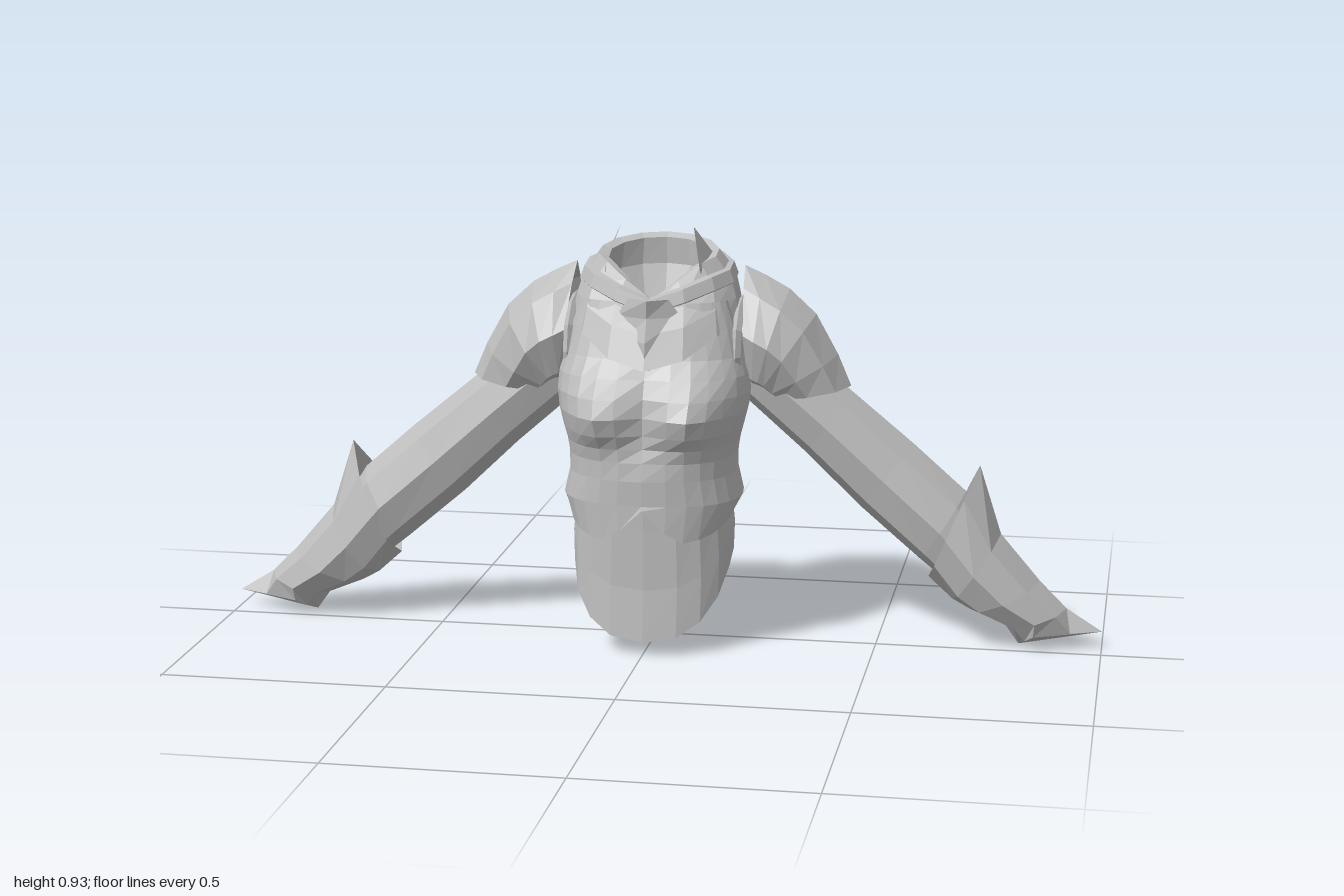
import * as THREE from 'three';

const armour = new THREE.MeshStandardMaterial({ color: 0xbcbcbc, flatShading: true, side: THREE.DoubleSide });
armour.name = 'grey armour';

function facetMesh(name, pos, idx) {
  const g = new THREE.BufferGeometry();
  g.setAttribute('position', new THREE.Float32BufferAttribute(pos, 3));
  g.setIndex(idx);
  const flat = g.toNonIndexed();
  flat.computeVertexNormals();
  const mesh = new THREE.Mesh(flat, armour);
  mesh.name = name;
  return mesh;
}

// Skin a list of closed rings of [x, y, z] points; optionally cap the last ring.
function loft(name, rings, capEnd = false) {
  const n = rings[0].length, idx = [];
  for (let r = 0; r < rings.length - 1; r++) {
    for (let i = 0; i < n; i++) {
      const a = r * n + i, b = r * n + (i + 1) % n;
      idx.push(a, b, b + n, a, b + n, a + n);
    }
  }
  if (capEnd) {
    const base = (rings.length - 1) * n;
    for (let i = 1; i < n - 1; i++) idx.push(base, base + i, base + i + 1);
  }
  return facetMesh(name, rings.flat(2), idx);
}

const pow = (v, e) => Math.sign(v) * Math.abs(v) ** e;

// Rounded body ring: half width, front z, back z; yAt gives the height per angle.
function bodyRing(n, hw, zf, zb, yAt, e = 0.85, zc = 0.02) {
  return Array.from({ length: n }, (_, i) => {
    const a = (i / n) * Math.PI * 2, s = Math.sin(a), c = Math.cos(a);
    const x = hw * pow(s, e), z = zc + pow(c, e) * (c > 0 ? zf - zc : zc - zb);
    return [x, yAt(x, c, z), z];
  });
}

// Eight-sided limb ring between an upper and a lower point; k sets how full the top is.
function limbRing([tx, ty, bx, by, hw, k = 0.7]) {
  const across = [[0, 0], [0.16, k], [0.5, 1], [0.84, 0.75], [1, 0], [0.84, -0.75], [0.5, -1], [0.16, -k]];
  return across.map(([t, w]) => [tx + (bx - tx) * t, ty + (by - ty) * t, -0.06 + hw * w]);
}

function makeArm() {
  const arm = new THREE.Group();
  arm.add(loft('shoulderPad', [
    [0.19, 0.845, 0.21, 0.565, 0.108, 0.45],
    [0.235, 0.825, 0.215, 0.56, 0.116, 0.58],
    [0.29, 0.795, 0.22, 0.56, 0.118, 0.66],
    [0.35, 0.74, 0.225, 0.56, 0.112],
    [0.4, 0.65, 0.235, 0.555, 0.097],
    [0.43, 0.58, 0.25, 0.55, 0.08],
  ].map(limbRing)));
  arm.add(loft('upperArm', [
    [0.24, 0.72, 0.14, 0.59, 0.07],
    [0.31, 0.67, 0.21, 0.53, 0.074],
    [0.43, 0.57, 0.33, 0.425, 0.073],
    [0.57, 0.455, 0.455, 0.305, 0.076],
    [0.69, 0.35, 0.59, 0.19, 0.084],
    [0.74, 0.27, 0.64, 0.15, 0.08],
  ].map(limbRing)));
  // Forearm guard: raised point over the elbow, slanted pointed end over the hand
  const guard = [
    [0.72, 0.41, 0.61, 0.15, 0.09],
    [0.77, 0.255, 0.665, 0.1, 0.097],
    [0.86, 0.15, 0.705, 0.078, 0.09],
    [0.92, 0.09, 0.785, 0.045, 0.074],
  ].map(limbRing);
  for (const i of [1, 2, 6, 7]) { guard[0][i][0] -= 0.012; guard[0][i][1] -= 0.025; }
  guard.push([[1, 0.04, 0], [0.93, 0.04, 0.03], [0.85, 0.037, 0.064], [0.83, 0.02, 0.04], [0.815, 0.003, 0],
    [0.83, 0.02, -0.04], [0.85, 0.037, -0.064], [0.93, 0.04, -0.03]].map(([x, y, z]) => [x, y, z - 0.06]));
  arm.add(loft('forearmGuard', guard, true));
  // Raised rim around the armhole
  const rim = new THREE.Mesh(new THREE.TorusGeometry(0.11, 0.011, 4, 12), armour);
  rim.name = 'armholeRim';
  rim.rotation.y = Math.PI / 2;
  rim.position.set(0.188, 0.66, -0.045);
  arm.add(rim);
  return arm;
}

// Breastplate with a notched lower edge and two chest lobes
function makeTorso() {
  const hem = (x, c) => {
    if (c < 0) return 0.32 + 0.07 * -c;
    const ax = Math.abs(x);
    return ax < 0.075 ? 0.335 - 0.07 * (ax / 0.075) : 0.26 + 0.06 * (1 - c) ** 1.3;
  };
  const rows = [
    [0.26, 0.183, 0.195, -0.115], [0.345, 0.2, 0.192, -0.13], [0.4, 0.187, 0.192, -0.135],
    [0.44, 0.187, 0.185, -0.138], [0.47, 0.192, 0.175, -0.142], [0.5, 0.2, 0.17, -0.148],
    [0.54, 0.21, 0.17, -0.158], [0.58, 0.215, 0.165, -0.167], [0.62, 0.212, 0.15, -0.178],
    [0.66, 0.2, 0.13, -0.185], [0.72, 0.185, 0.108, -0.187], [0.78, 0.165, 0.088, -0.18],
  ];
  const rings = rows.map(([y, hw, zf, zb], r) => bodyRing(28, hw, zf, zb, (x, c) => {
    const h = hem(x, c);
    return r === 0 ? h : Math.max(y, h + 0.01 * r);
  }));
  for (const p of rings.flat()) {
    if (p[2] < 0.03) continue;
    const u = (Math.abs(p[0]) - 0.105) / 0.075, v = (p[1] - 0.53) / (p[1] < 0.53 ? 0.06 : 0.085);
    p[2] += 0.064 * Math.exp(-u * u - v * v);
  }
  return loft('breastplate', rings);
}

// Abdomen plate hanging to a rounded tongue in front
function makeAbdomen() {
  const low = (c) => 0.21 - 0.178 * Math.max(0, c) ** 1.1;
  const rings = [
    [0, 0.178, 0.18, -0.1], [0.3, 0.18, 0.168, -0.105], [0.65, 0.172, 0.165, -0.105], [1, 0.165, 0.165, -0.105],
  ].map(([t, hw, zf, zb]) =>
    bodyRing(18, hw, zf, zb, (x, c) => low(c) + (0.42 - low(c)) * t, 0.82));
  return loft('abdomenPlate', rings);
}

// Tilted collar: outer wall with a V in front, dipped rim and inner wall
function makeCollar() {
  const zc = -0.035;
  const vee = (y, d) => (x, c) => y - d * Math.max(0, c) ** 2.5;
  const tilt = (y, k, dip = 0) => (x, c, z) => y - k * (z - zc) - dip * Math.max(0, c) ** 8;
  const ring = (hw, zf, zb, yAt) => bodyRing(14, hw, zf, zb, yAt, 1, zc);
  const group = new THREE.Group();
  group.name = 'collar';
  group.add(loft('neckGuard', [
    ring(0.192, 0.163, -0.185, vee(0.74, 0.1)),
    ring(0.183, 0.13, -0.19, vee(0.785, 0.07)),
    ring(0.172, 0.09, -0.188, tilt(0.825, 0.2, 0.04)),
    ring(0.135, 0.065, -0.152, tilt(0.875, 0.22, 0.07)),
    ring(0.115, 0.05, -0.138, tilt(0.868, 0.22, 0.07)),
    ring(0.125, 0.06, -0.14, tilt(0.81, 0.2, 0.03)),
    ring(0.1, 0.065, -0.11, tilt(0.74, 0.1)),
  ]));
  // Raised band around the collar
  group.add(loft('collarBand', [
    ring(0.168, 0.09, -0.185, tilt(0.81, 0.17, 0.04)),
    ring(0.178, 0.1, -0.192, tilt(0.82, 0.17, 0.04)),
    ring(0.168, 0.092, -0.182, tilt(0.847, 0.17, 0.04)),
    ring(0.15, 0.078, -0.165, tilt(0.848, 0.17, 0.04)),
  ]));
  return group;
}

// Faceted plate: rows of [y, half width, edge z, ridge z, thickness]
function plate(name, rows) {
  return loft(name, rows.map(([y, w, ze, zr, t]) => [
    [0, y, zr], [w, y, ze], [0, y, zr - t], [-w, y, ze],
  ]), true);
}

export function createModel() {
  const model = new THREE.Group();
  model.name = 'armouredTorso';
  model.add(makeTorso(), makeAbdomen(), makeCollar());

  model.add(plate('throatPlate', [
    [0.64, 0.012, 0.145, 0.155, 0.02], [0.7, 0.055, 0.11, 0.147, 0.03],
    [0.75, 0.072, 0.092, 0.125, 0.03], [0.79, 0.045, 0.1, 0.13, 0.02],
  ]));
  model.add(plate('backPlate', [
    [0.63, 0.02, -0.195, -0.22, -0.03], [0.69, 0.05, -0.175, -0.216, -0.04],
    [0.79, 0.1, -0.16, -0.205, -0.04], [0.88, 0.08, -0.14, -0.17, -0.03],
  ]));

  for (const side of [1, -1]) {
    const arm = makeArm();
    arm.name = side > 0 ? 'leftArm' : 'rightArm';
    arm.scale.x = side;
    model.add(arm);
    // Pointed tab standing on the collar rim
    model.add(facetMesh(side > 0 ? 'leftCollarPoint' : 'rightCollarPoint', [
      side * 0.105, 0.85, 0.05, side * 0.082, 0.935, -0.01, side * 0.122, 0.865, -0.06, side * 0.11, 0.8, 0.01,
    ], [0, 2, 1, 0, 3, 2]));
  }
  return model;
}
